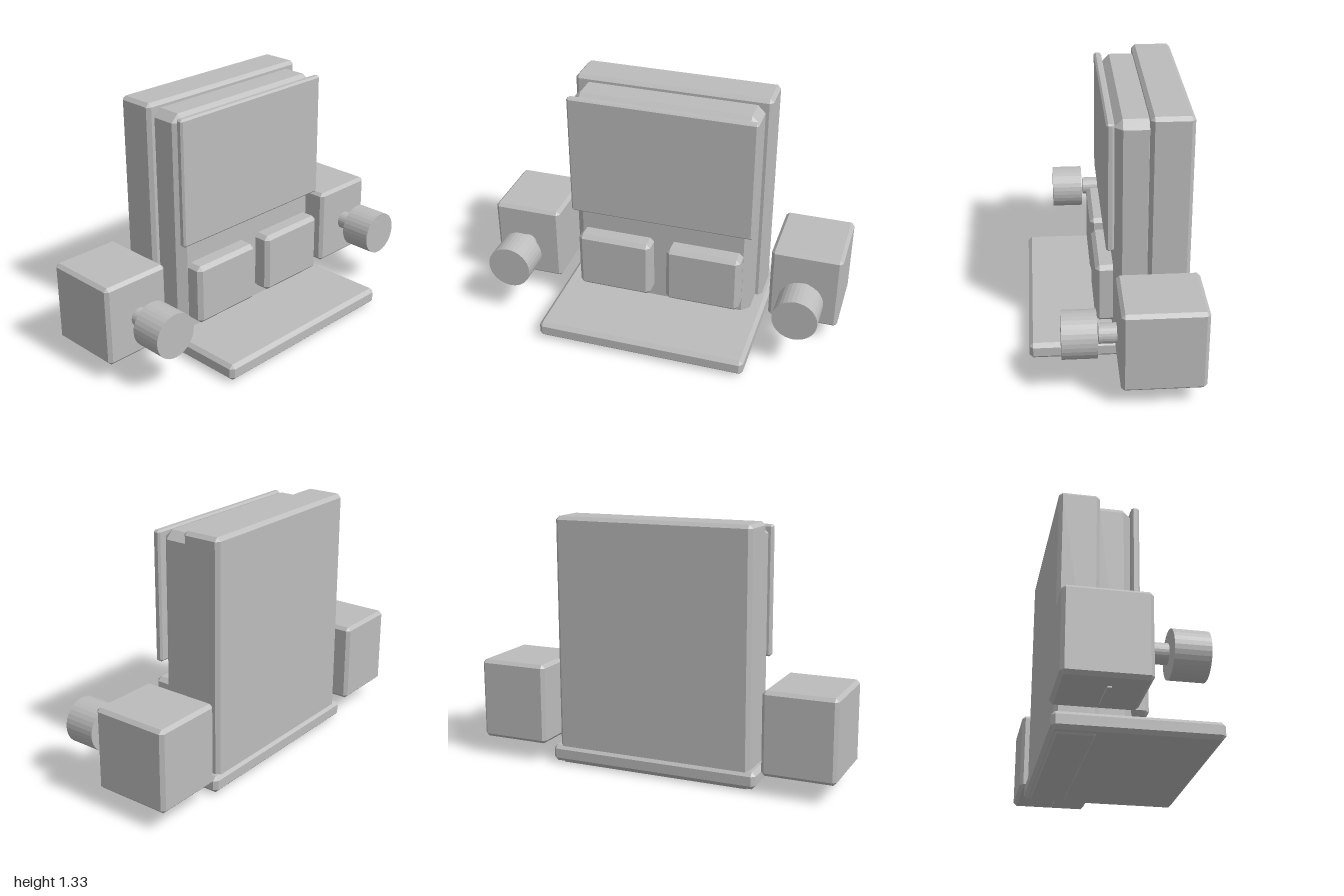
import * as THREE from 'three';
import { ConvexGeometry } from 'three/addons/geometries/ConvexGeometry.js';

const grey = new THREE.MeshStandardMaterial({ color: 0xbcbcbc, flatShading: true });
grey.name = 'plain grey';

// Box between two corners with every edge chamfered by c
function chamferBox([x0, y0, z0], [x1, y1, z1], c) {
  const points = [];
  for (const sx of [0, 1]) for (const sy of [0, 1]) for (const sz of [0, 1]) {
    for (let axis = 0; axis < 3; axis++) {
      // each corner becomes three points, each touching one face
      const inset = (a, b, s, i) => (s ? b : a) + (i === axis ? 0 : (s ? -c : c));
      points.push(new THREE.Vector3(inset(x0, x1, sx, 0), inset(y0, y1, sy, 1), inset(z0, z1, sz, 2)));
    }
  }
  return new ConvexGeometry(points);
}

function add(parent, name, geometry) {
  const mesh = new THREE.Mesh(geometry, grey);
  mesh.name = name;
  parent.add(mesh);
  return mesh;
}

// Cylinder lying along z
function rod(radius, z0, z1, sides) {
  return new THREE.CylinderGeometry(radius, radius, z1 - z0, sides)
    .rotateX(Math.PI / 2)
    .translate(0, 0, (z0 + z1) / 2);
}

export function createModel() {
  const model = new THREE.Group();
  model.name = 'console';

  // Central body
  add(model, 'base', chamferBox([-0.578, 0.01, -0.41], [0.578, 0.1, 0.433], 0.02));
  add(model, 'backPanel', chamferBox([-0.541, 0, -0.395], [0.541, 1.334, -0.18], 0.019));
  add(model, 'middlePanel', chamferBox([-0.505, 0.03, -0.22], [0.505, 1.302, -0.009], 0.042));
  add(model, 'screen', chamferBox([-0.514, 0.605, -0.01], [0.514, 1.297, 0.031], 0.01));

  for (const [side, s] of [['left', 1], ['right', -1]]) {
    // Raised pad below the screen
    add(model, side + 'Pad', chamferBox([-0.208, 0.152, -0.05], [0.208, 0.485, 0.083], 0.022))
      .position.x = s * 0.254;

    // Free-standing side unit with stem, knob and slot plate underneath
    const unit = new THREE.Group();
    unit.name = side + 'Unit';
    unit.position.x = s * 0.807;
    model.add(unit);
    add(unit, 'housing', chamferBox([-0.193, 0.1, -0.43], [0.193, 0.537, -0.009], 0.018));
    add(unit, 'stem', rod(0.051, 0, 0.09, 24)).position.y = 0.318;
    add(unit, 'knob', rod(0.121, 0.098, 0.273, 32)).position.y = 0.318;
    add(unit, 'slotPlate', new THREE.BoxGeometry(0.21, 0.008, 0.021)).position.set(0, 0.087, -0.198);
  }
  return model;
}
